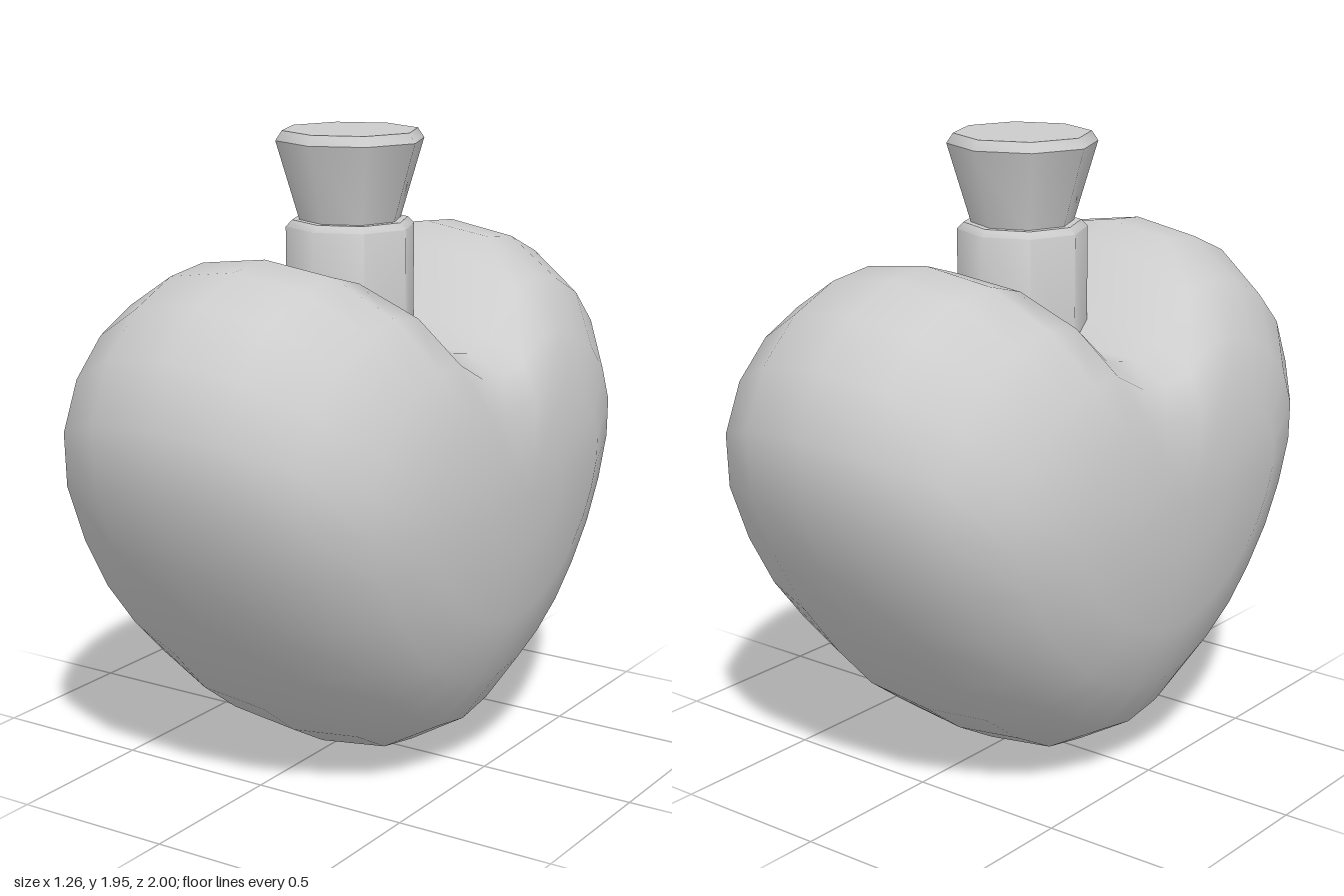
import * as THREE from 'three';
import { toCreasedNormals } from 'three/addons/utils/BufferGeometryUtils.js';

const glass = new THREE.MeshStandardMaterial({ color: 0xcccccc });
glass.name = 'paleGrey';

// Half outline of the heart as [z, y], from the notch down to the tip
const outline = [
  [0, 1.33], [0.14, 1.37], [0.31, 1.57], [0.45, 1.615], [0.61, 1.6], [0.78, 1.53],
  [0.92, 1.4], [1, 1.22], [0.99, 1.02], [0.9, 0.8], [0.78, 0.59], [0.63, 0.4],
  [0.48, 0.24], [0.32, 0.12], [0.16, 0.03], [0, 0],
];
// Rings across the thickness as [x, z scale, y scale]
const halfRings = [
  [0.23, 0.97, 0.965], [0.42, 0.87, 0.84], [0.54, 0.71, 0.65], [0.605, 0.51, 0.43], [0.63, 0.22, 0.17],
];
const MID = 0.9;

// Plump heart: scaled outlines that relax to an oval towards each side
function heartGeometry() {
  const rings = [
    ...halfRings.map(([x, z, y]) => [-x, z, y]).reverse(),
    [0, 1, 1],
    ...halfRings,
  ];
  const half = outline.length - 1;
  const n = half * 2;
  const pos = [];
  const index = [];
  for (const [x, sz, sy] of rings) {
    const oval = 1 - Math.pow(sz, 1.5);
    for (let i = 0; i < n; i++) {
      const k = i <= half ? i : n - i;
      const side = i <= half ? 1 : -1;
      const a = (k / half) * Math.PI;
      const c = Math.cos(a);
      const z = THREE.MathUtils.lerp(outline[k][0], Math.sin(a), oval);
      const y = THREE.MathUtils.lerp(outline[k][1] - MID, c * (c > 0 ? 0.715 : 0.9), oval);
      pos.push(x, MID + y * sy, side * z * sz);
    }
  }
  const last = (rings.length - 1) * n;
  const poleA = rings.length * n;
  const poleB = poleA + 1;
  pos.push(-0.632, MID, 0, 0.632, MID, 0);
  for (let i = 0; i < n; i++) {
    const m = (i + 1) % n;
    for (let r = 0; r < last; r += n) {
      index.push(r + i, r + m, r + n + m, r + i, r + n + m, r + n + i);
    }
    index.push(poleA, m, i, last + i, last + m, poleB);
  }
  const g = new THREE.BufferGeometry();
  g.setAttribute('position', new THREE.Float32BufferAttribute(pos, 3));
  g.setIndex(index);
  g.computeVertexNormals();
  return g;
}

// Eight-sided turned part with crisp rims
function turned(name, profile) {
  const points = profile.map(([r, y]) => new THREE.Vector2(r, y));
  const mesh = new THREE.Mesh(toCreasedNormals(new THREE.LatheGeometry(points, 8), 0.82), glass);
  mesh.name = name;
  return mesh;
}

export function createModel() {
  const group = new THREE.Group();
  group.name = 'heartBottle';

  const body = new THREE.Mesh(heartGeometry(), glass);
  body.name = 'heartBody';

  group.add(
    body,
    turned('neck', [[0.2, 1.2], [0.2, 1.66], [0.18, 1.68], [0.14, 1.68]]),
    turned('stopper', [[0.14, 1.6], [0.155, 1.67], [0.23, 1.92], [0.21, 1.95], [0, 1.95]]),
  );
  return group;
}
